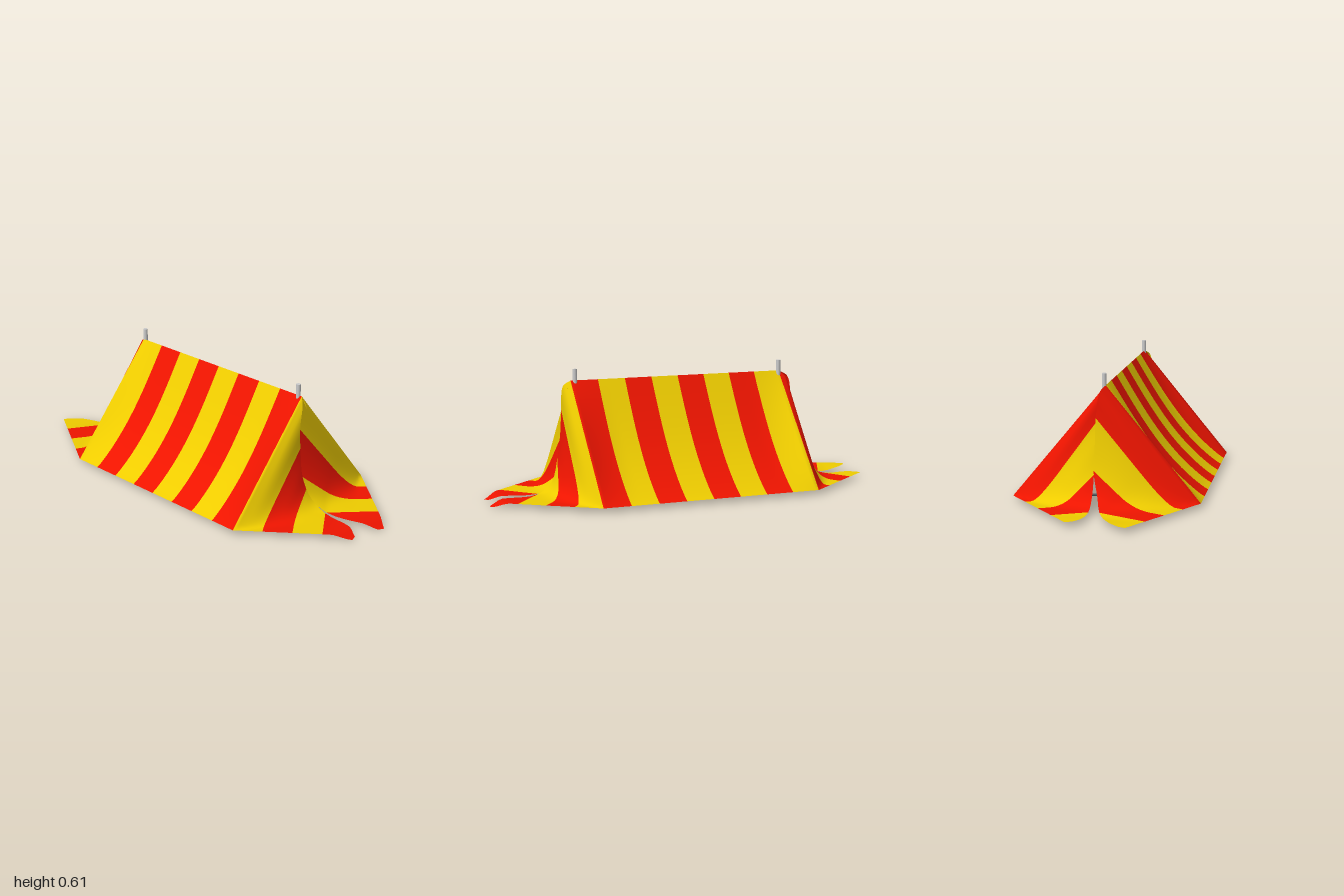
import * as THREE from 'three';

const V = (x, y, z) => new THREE.Vector3(x, y, z);
const { lerp, smoothstep } = THREE.MathUtils;

const STRIPES = 16;        // four per flap, eight on the roof
const COLS = 8;            // grid columns per stripe
const ROWS = 40;
const FLOOR = 0.022;
const RIDGE = 0.553;
const HALF = 0.437;        // half the width of the tent at the ground
const LEFT_X = -0.53;
const RIGHT_X = 0.567;
const SAG = 0.042;         // how far the roof hangs in at its middle

// Outward reach of the hanging edge at each end, from ridge to ground
const REACH = {
  right: [0, 0.03, 0.034, 0.04, 0.056, 0.092, 0.17],
  left: [0, 0.04, 0.054, 0.078, 0.112, 0.158, 0.24],
};

// Door flaps. sx: end of the tent, cross: how far the hanging edge passes the middle,
// mid: where the edge meets the ground, tip: outer end on the ground, low: drop of the edge points.
const flaps = {
  front: {
    right: { sx: 1, reach: REACH.right, inset: 0.012, cross: -0.015, mid: 0.005, tip: [0.975, 0.085], low: 0.05, dip: 0.022 },
    left: { sx: -1, reach: REACH.left, inset: 0, cross: -0.036, mid: 0.015, tip: [1.0, 0.17], low: 0, dip: 0 },
  },
  back: {
    right: { sx: 1, reach: REACH.right, inset: 0, cross: -0.042, mid: 0.005, tip: [1.0, 0.105], low: 0, dip: 0.022 },
    left: { sx: -1, reach: REACH.left, inset: 0.01, cross: 0.036, mid: 0.035, tip: [0.95, 0.105], low: 0.02, dip: 0 },
  },
};

// Hanging edge of a flap from the ridge to the ground, then along the ground to the tip.
// Points are (distance along x, height, distance from the middle).
function flapEdge(f) {
  const cx = f.sx > 0 ? RIGHT_X : -LEFT_X;
  const high = [RIDGE, 0.525, 0.41, 0.3, 0.18, 0.075, FLOOR];
  const fall = [0, 0.5, 1, 1, 1, 0.4, 0];
  const across = [0, 0.6, 1, 1, 1];
  const pts = f.reach.map((d, i) => {
    const c = i < 5 ? f.cross * across[i] : lerp(f.cross, f.mid, (i - 4) / 2);
    return V(cx + d - fall[i] * f.inset, high[i] - fall[i] * f.low, c);
  });
  const g = pts[6], [tx, tc] = f.tip;
  pts.push(V(lerp(g.x, tx, 0.7), FLOOR, lerp(g.z, tc, 0.7) - 0.035));
  pts.push(V(tx - 0.012, FLOOR, tc - 0.03));
  return { cx, ground: g, curve: new THREE.CatmullRomCurve3(pts) };
}

// One line of cloth: along the ground, rounded, then up.
function clothLine(E, K, T) {
  const a = E.clone().lerp(K, 0.45), b = K.clone().lerp(T, 0.35);
  const path = new THREE.CurvePath();
  path.add(new THREE.LineCurve3(E, a));
  path.add(new THREE.QuadraticBezierCurve3(a, K, b));
  path.add(new THREE.LineCurve3(b, T));
  return path;
}

function flapLine(f, edge, q) {
  const corner = V(edge.cx, FLOOR, HALF);
  const E = corner.clone().lerp(V(f.tip[0], FLOOR, f.tip[1]), q);
  const T = edge.curve.getPoint(q);
  const K = q < 0.75 ? corner.clone().lerp(edge.ground, q / 0.75) : T.clone();
  return clothLine(E, K, T);
}

// Point on the roof slope, hanging in between the two ends, the ridge and the ground
function roofPoint(x, t) {
  const inset = Math.min(x - LEFT_X, RIGHT_X - x) / 0.2;
  const ends = 1 - Math.max(0, 1 - inset) ** 2;
  const sag = SAG * ends * Math.sin(Math.PI * t ** 0.8);
  return V(x, lerp(FLOOR, RIDGE, t) - sag * 0.64, lerp(HALF, 0, t) - sag * 0.77);
}

// Half of the tent: flap, roof slope and flap as one sheet, split into two colours.
function buildSheet(name, side, pair, colours) {
  const n = STRIPES * COLS, pos = [], index = [[], []];
  const edges = { left: flapEdge(pair.left), right: flapEdge(pair.right) };
  for (let i = 0; i <= n; i++) {
    const w = i / COLS;
    const end = w < 4 ? 'left' : w > 12 ? 'right' : null;
    const f = pair[end];
    const path = end && flapLine(f, edges[end], (Math.abs(w - 8) - 4) / 4);
    for (let j = 0; j <= ROWS; j++) {
      const t = j / ROWS;
      if (end) {
        const p = path.getPoint(t);
        const drop = f.dip * smoothstep(p.x, f.tip[0] - 0.08, f.tip[0]);
        pos.push(p.x * f.sx, p.y - drop, p.z * side);
      } else {
        const p = roofPoint(lerp(LEFT_X, RIGHT_X, (w - 4) / 8), t);
        pos.push(p.x, p.y, p.z * side);
      }
    }
  }
  const row = ROWS + 1;
  for (let i = 0; i < n; i++) {
    const list = index[Math.floor(i / COLS) % 2];
    for (let j = 0; j < ROWS; j++) {
      const a = i * row + j, b = a + row, c = b + 1, d = a + 1;
      if (side > 0) list.push(a, b, c, a, c, d);
      else list.push(a, c, b, a, d, c);
    }
  }
  // Normals come from the whole sheet so that the stripes shade as one cloth
  const whole = new THREE.BufferGeometry();
  whole.setAttribute('position', new THREE.Float32BufferAttribute(pos, 3));
  whole.setIndex(index.flat());
  whole.computeVertexNormals();
  const group = new THREE.Group();
  group.name = name;
  colours.forEach((material, k) => {
    const geo = new THREE.BufferGeometry();
    geo.setAttribute('position', whole.attributes.position);
    geo.setAttribute('normal', whole.attributes.normal);
    geo.setIndex(index[k]);
    const mesh = new THREE.Mesh(geo, material);
    mesh.name = name + (k ? 'RedStripes' : 'YellowStripes');
    group.add(mesh);
  });
  return group;
}

function rod(name, from, to, radius, material) {
  const dir = to.clone().sub(from);
  const mesh = new THREE.Mesh(new THREE.CylinderGeometry(radius, radius, dir.length(), 16), material);
  mesh.position.copy(from).lerp(to, 0.5);
  mesh.quaternion.setFromUnitVectors(V(0, 1, 0), dir.normalize());
  mesh.name = name;
  return mesh;
}

export function createModel() {
  const model = new THREE.Group();
  model.name = 'tent';
  const yellow = new THREE.MeshStandardMaterial({ color: 0xeecc00, side: THREE.DoubleSide });
  const red = new THREE.MeshStandardMaterial({ color: 0xee1400, side: THREE.DoubleSide });
  const grey = new THREE.MeshStandardMaterial({ color: 0xcccccc });
  const dark = new THREE.MeshStandardMaterial({ color: 0x50555c });

  // Cloth
  model.add(buildSheet('frontCloth', 1, flaps.front, [yellow, red]));
  model.add(buildSheet('backCloth', -1, flaps.back, [yellow, red]));

  // Upright poles
  model.add(rod('leftPole', V(0.545, 0.022, 0), V(0.545, 0.607, 0), 0.011, grey));
  model.add(rod('rightPole', V(-0.525, 0.022, -0.008), V(-0.525, 0.607, -0.008), 0.011, grey));

  // Ground frame
  const frame = new THREE.Group();
  frame.name = 'groundFrame';
  const corners = [[-0.53, -0.37], [0.54, -0.37], [0.54, 0.37], [-0.53, 0.37]]
    .map(([x, z]) => V(x, 0.042, z));
  corners.forEach((c, i) => frame.add(rod('frameRod', c, corners[(i + 1) % 4], 0.006, dark)));
  model.add(frame);
  return model;
}
